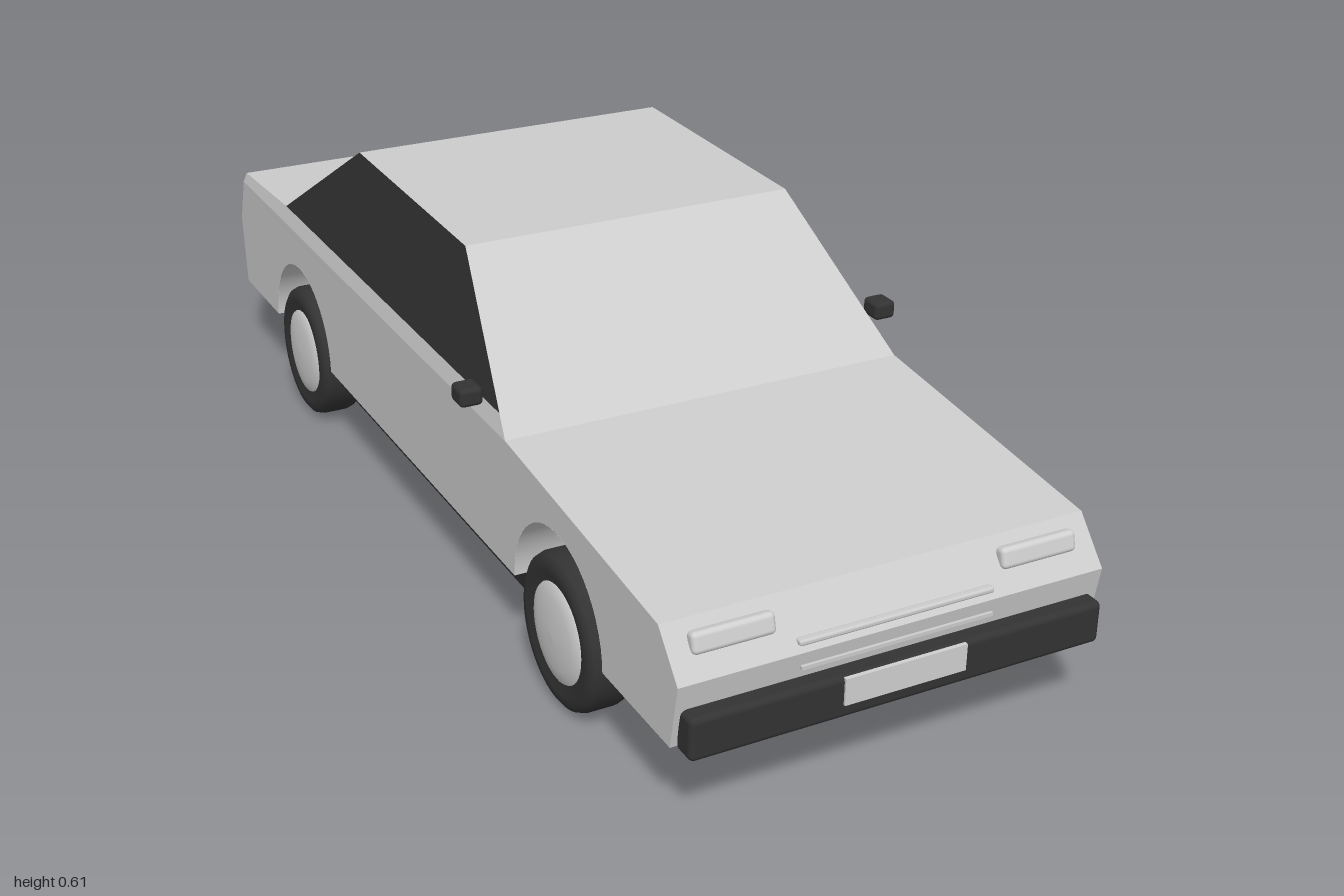
import * as THREE from 'three';
import { RoundedBoxGeometry } from 'three/addons/geometries/RoundedBoxGeometry.js';

const mat = (name, color) => new THREE.MeshStandardMaterial({ name, color, side: THREE.DoubleSide });

// Half width of the shell at a given height: upright sides, shoulder, leaning cabin
function halfWidth(y) {
  if (y <= 0.38) return 0.365;
  if (y <= 0.41) return 0.365 - (y - 0.38) / 0.03 * 0.008;
  return 0.357 - (y - 0.41) / 0.197 * 0.052;
}

const WHEEL_Z = [0.585, -0.595];
const ARCH_R = 0.158, SILL = 0.15, WELL_X = 0.27;

export function createModel() {
  const car = new THREE.Group();
  car.name = 'car';
  const paint = mat('silverPaint', 0xcccccc);
  const dark = mat('darkTrim', 0x333333);
  const glass = mat('darkGlass', 0x303030);
  const under = mat('underbodyBlack', 0x2c2c2c);
  const light = mat('lampAndPlate', 0xd0d0d0);
  const red = mat('tailLampRed', 0xa82020);

  function add(name, geometry, material, x = 0, y = 0, z = 0, parent = car) {
    const mesh = new THREE.Mesh(geometry, material);
    mesh.name = name;
    mesh.position.set(x, y, z);
    parent.add(mesh);
    return mesh;
  }
  const box = (w, h, d, r) => r ? new RoundedBoxGeometry(w, h, d, 3, r) : new THREE.BoxGeometry(w, h, d);

  // Skin strips across the car, following [z, y] points
  function skin(points) {
    const v = [];
    for (let i = 0; i + 1 < points.length; i++) {
      const [z0, y0, w0 = halfWidth(y0)] = points[i];
      const [z1, y1, w1 = halfWidth(y1)] = points[i + 1];
      v.push(-w0, y0, z0, w0, y0, z0, w1, y1, z1, -w0, y0, z0, w1, y1, z1, -w1, y1, z1);
    }
    const g = new THREE.BufferGeometry();
    g.setAttribute('position', new THREE.Float32BufferAttribute(v, 3));
    g.computeVertexNormals();
    return g;
  }

  // Flat side panel drawn in (z, y) and laid on the shell
  function sidePanel(shape, side) {
    const g = new THREE.ShapeGeometry(shape, 24).toNonIndexed();
    const p = g.attributes.position;
    for (let i = 0; i < p.count; i++) {
      const z = p.getX(i), y = p.getY(i);
      p.setXYZ(i, side * halfWidth(y), y, z);
    }
    if (side > 0) { // keep the outside facing out
      for (let i = 0; i < p.count; i += 3) {
        const a = new THREE.Vector3().fromBufferAttribute(p, i + 1);
        const b = new THREE.Vector3().fromBufferAttribute(p, i + 2);
        p.setXYZ(i + 1, b.x, b.y, b.z);
        p.setXYZ(i + 2, a.x, a.y, a.z);
      }
    }
    g.computeVertexNormals();
    return g;
  }
  const poly = pts => new THREE.Shape(pts.map(([z, y]) => new THREE.Vector2(z, y)));

  // Nose, bonnet, windscreen, roof, rear screen, boot and tail
  add('upperShell', skin([
    [0.955, SILL], [0.975, 0.26], [0.915, 0.33], [0.4, 0.38], [0.362, 0.41], [0.12, 0.6],
    [-0.38, 0.607], [-0.68, 0.41], [-0.93, 0.4], [-0.937, 0.38], [-0.97, 0.29], [-0.955, SILL],
  ]), paint);

  // Underside, narrowed between the wheel wells
  const bottom = [[-0.955, SILL]];
  for (const z of [...WHEEL_Z].reverse()) {
    bottom.push([z - ARCH_R, SILL], [z - ARCH_R, SILL, WELL_X], [z + ARCH_R, SILL, WELL_X], [z + ARCH_R, SILL]);
  }
  bottom.push([0.955, SILL]);
  add('bottomPanel', skin(bottom), paint);
  add('floorPan', box(0.67, 0.043, 1.36), under, 0, 0.1235, 0);

  // Body sides with arch cut-outs
  const sideShape = poly([
    [0.955, SILL], [0.975, 0.26], [0.915, 0.33], [0.4, 0.38], [-0.937, 0.38], [-0.97, 0.29], [-0.955, SILL],
  ]);
  for (const z of [...WHEEL_Z].reverse()) {
    sideShape.lineTo(z - ARCH_R, SILL);
    sideShape.absarc(z, SILL, ARCH_R, Math.PI, 0, true);
  }
  const shoulder = poly([[0.4, 0.38], [0.362, 0.41], [-0.68, 0.41], [-0.93, 0.4], [-0.937, 0.38]]);

  // Wheel profile, turned about its axle
  const tyreProfile = [
    [0, -0.04], [0.1, -0.0425], [0.116, -0.041], [0.126, -0.034], [0.13, -0.022],
    [0.13, 0.022], [0.126, 0.034], [0.116, 0.041], [0.1, 0.0425], [0.084, 0.036], [0, 0.034],
  ].map(([r, y]) => new THREE.Vector2(r, y));
  const hubProfile = [[0.086, 0.032], [0.082, 0.039], [0.06, 0.044], [0.03, 0.047], [0, 0.048]]
    .map(([r, y]) => new THREE.Vector2(r, y));

  for (const side of [1, -1]) {
    const tag = side > 0 ? 'left' : 'right';
    add(tag + 'BodySide', sidePanel(sideShape, side), paint);
    add(tag + 'Shoulder', sidePanel(shoulder, side), paint);

    WHEEL_Z.forEach((z, i) => {
      const end = i ? 'Rear' : 'Front';
      // Wheel well: half tunnel and inner wall
      const depth = 0.365 - WELL_X;
      const tunnel = new THREE.CylinderGeometry(ARCH_R, ARCH_R, depth, 24, 1, true, 0, Math.PI).rotateZ(Math.PI / 2);
      add(tag + end + 'WheelWell', tunnel, paint, side * (WELL_X + depth / 2), SILL, z);
      const wall = new THREE.CircleGeometry(ARCH_R, 24, 0, Math.PI).rotateY(side * Math.PI / 2);
      add(tag + end + 'WellWall', wall, paint, side * WELL_X, SILL, z);

      const wheel = new THREE.Group();
      wheel.name = tag + end + 'Wheel';
      wheel.position.set(side * 0.3275, 0.13, z);
      wheel.rotation.z = -side * Math.PI / 2;
      add('tyre', new THREE.LatheGeometry(tyreProfile, 40), dark, 0, 0, 0, wheel);
      add('hubcap', new THREE.LatheGeometry(hubProfile, 40), light, 0, 0, 0, wheel);
      car.add(wheel);
    });

    add(tag + 'Mirror', box(0.04, 0.032, 0.044, 0.008), dark, side * 0.39, 0.43, 0.31);
    const lamp = add(tag + 'Headlamp', box(0.135, 0.034, 0.022, 0.008), light, side * 0.262, 0.304, 0.942);
    lamp.rotation.x = -0.25;
    const tail = add(tag + 'TailLamp', box(0.13, 0.045, 0.018, 0.007), red, side * 0.28, 0.352, -0.955);
    tail.rotation.x = 0.3;
  }

  // Side glass on the right; the left window is open
  add('rightSideGlass', sidePanel(poly([[0.362, 0.41], [0.12, 0.6], [-0.38, 0.607], [-0.68, 0.41]]), -1), glass);

  // Bumpers, plates and nose trim
  add('frontBumper', box(0.71, 0.072, 0.045, 0.01), dark, 0, 0.18, 0.974);
  add('rearBumper', box(0.71, 0.072, 0.04, 0.01), dark, 0, 0.18, -0.972);
  add('frontPlate', box(0.21, 0.045, 0.008), light, 0, 0.191, 0.996);
  add('rearPlate', box(0.21, 0.045, 0.008), light, 0, 0.258, -0.996);
  add('upperNoseTrim', box(0.335, 0.01, 0.014, 0.004), paint, 0, 0.274, 0.966);
  add('lowerNoseTrim', box(0.33, 0.006, 0.012), paint, 0, 0.235, 0.97);

  return car;
}
